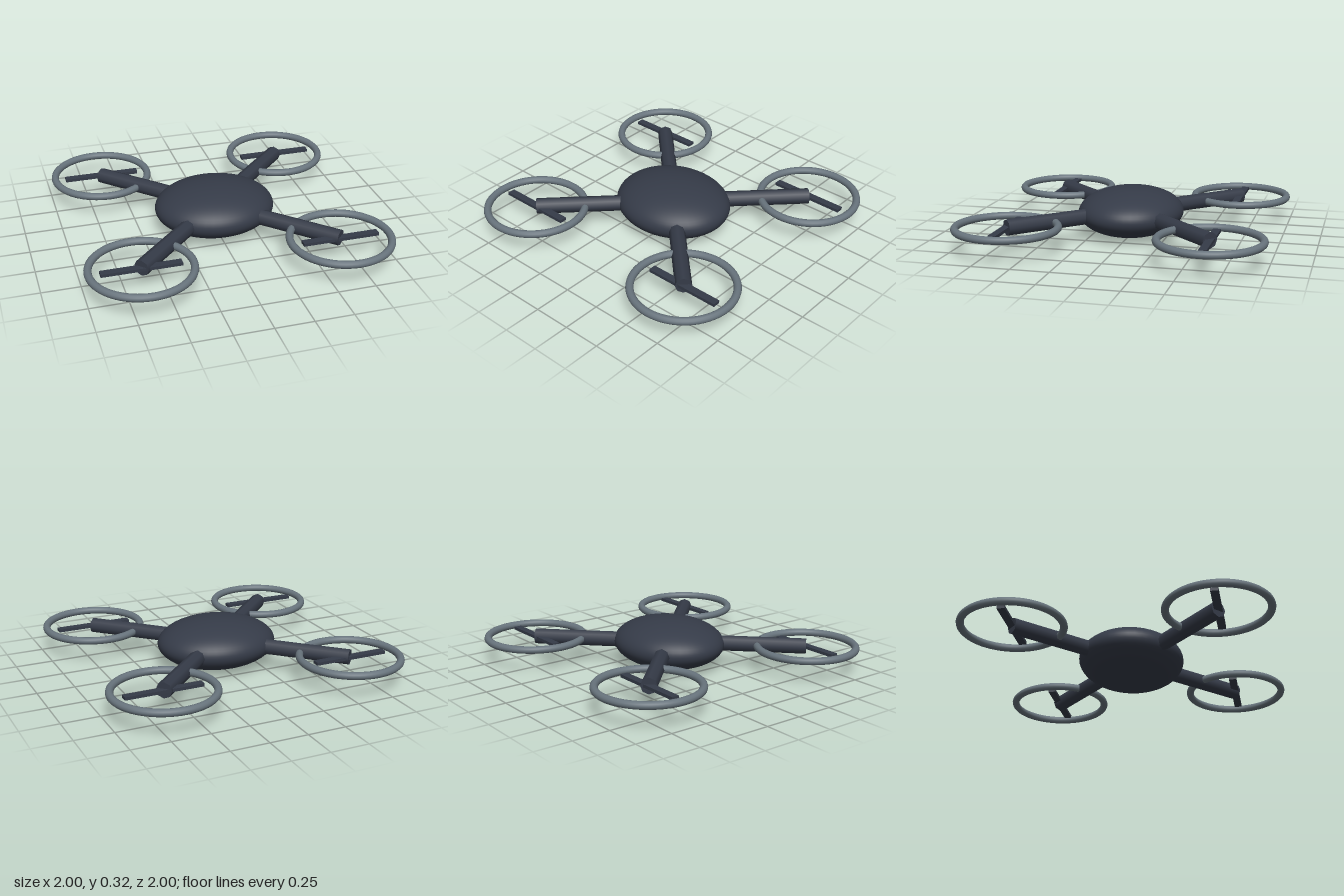
import * as THREE from 'three';

const MID_Y = 0.163; // height of the common mid-plane
const ROTOR = 0.648; // rotor centre distance along x and z

export function createModel() {
  const model = new THREE.Group();
  model.name = 'quadcopter';

  const shell = new THREE.MeshStandardMaterial({ color: 0x353b48 });
  shell.name = 'dark slate';
  const guard = new THREE.MeshStandardMaterial({ color: 0x68747d });
  guard.name = 'steel grey';

  const add = (parent, name, geometry, material) => {
    const mesh = new THREE.Mesh(geometry, material);
    mesh.name = name;
    parent.add(mesh);
    return mesh;
  };

  // Flattened egg-shaped body
  const body = add(model, 'body', new THREE.SphereGeometry(1, 48, 32), shell);
  body.scale.set(0.402, 0.162, 0.35);
  body.position.y = MID_Y;

  // Arm runs outwards along +z before it is turned to its corner
  const armLength = ROTOR * Math.SQRT2 - 0.15;
  const armGeometry = new THREE.CylinderGeometry(0.053, 0.053, armLength, 8)
    .rotateX(Math.PI / 2)
    .translate(0, 0, 0.15 + armLength / 2);
  const ringGeometry = new THREE.TorusGeometry(0.325, 0.025, 12, 64).rotateX(Math.PI / 2);
  const bladeGeometry = new THREE.BoxGeometry(0.51, 0.02, 0.05);

  // One arm, propeller and guard ring per corner
  for (const [side, sx] of [['left', 1], ['right', -1]]) {
    for (const [end, sz] of [['front', 1], ['back', -1]]) {
      const unit = new THREE.Group();
      unit.name = `${end} ${side} rotor unit`;
      unit.position.y = MID_Y;
      model.add(unit);

      add(unit, 'arm', armGeometry, shell).rotation.y = Math.atan2(sx, sz);
      add(unit, 'propeller', bladeGeometry, shell).position.set(sx * ROTOR, 0, sz * ROTOR);
      add(unit, 'guardRing', ringGeometry, guard).position.set(sx * ROTOR, 0, sz * ROTOR);
    }
  }
  return model;
}
